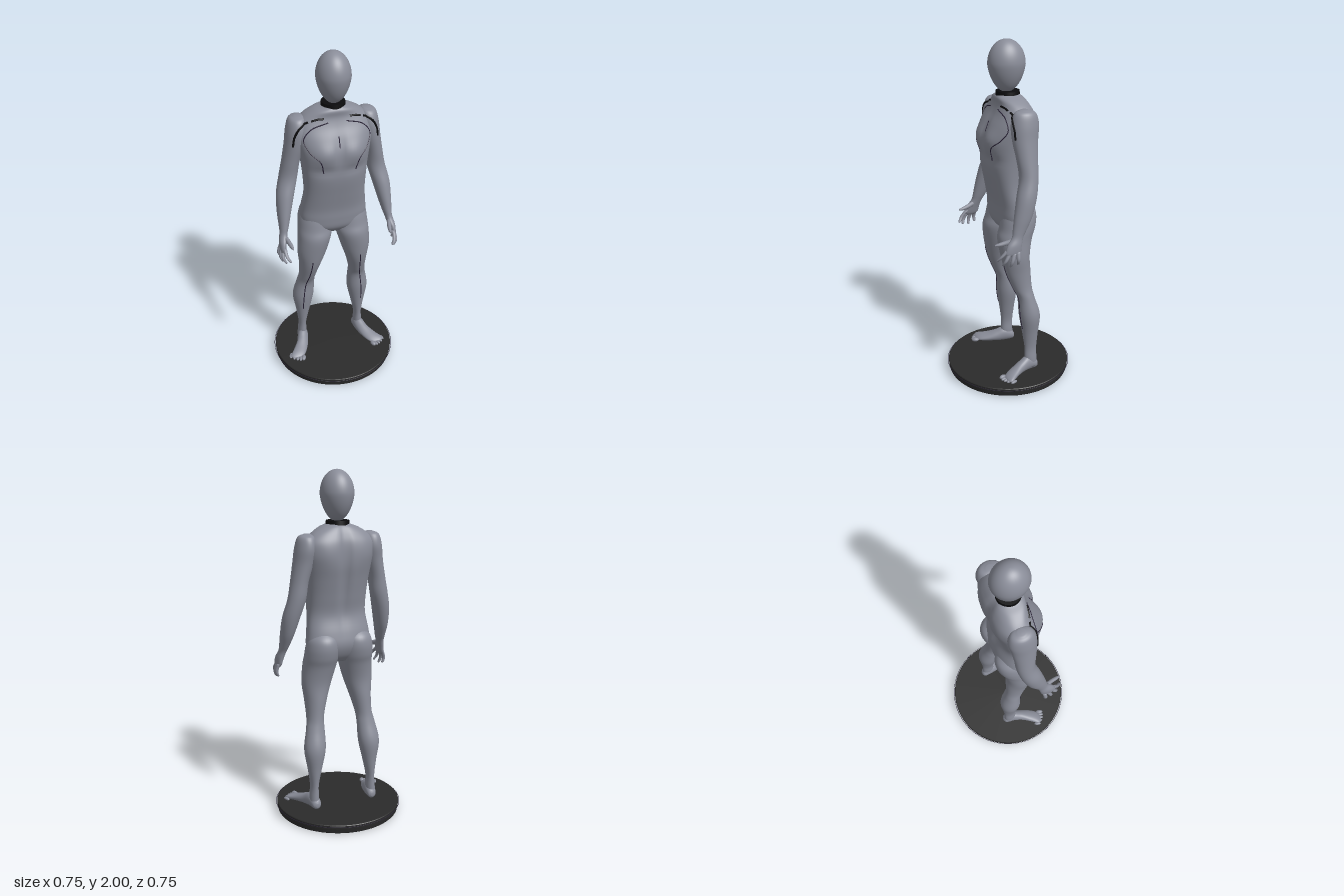
import * as THREE from 'three';

const mat = (name, color) => {
  const m = new THREE.MeshStandardMaterial({ color });
  m.name = name;
  return m;
};

// Smooth skin over sections [cx, cy, cz, ru, rv]; rings lie across the given axis
function loft(sections, { axis = 'y', seg = 28, steps = 5, power = 2, mirror = 1, sculpt } = {}) {
  const centre = new THREE.CatmullRomCurve3(sections.map(s => new THREE.Vector3(s[0], s[1], s[2])), false, 'catmullrom', 0.5);
  const radius = new THREE.CatmullRomCurve3(sections.map(s => new THREE.Vector3(s[3], s[4], 0)), false, 'catmullrom', 0.5);
  const rows = (sections.length - 1) * steps;
  const pos = [], index = [];
  const bend = v => Math.sign(v) * Math.abs(v) ** (2 / power);
  const add = p => {
    if (sculpt) sculpt(p);
    pos.push(p.x * mirror, p.y, p.z);
  };
  for (let i = 0; i <= rows; i++) {
    const c = centre.getPoint(i / rows), r = radius.getPoint(i / rows);
    for (let j = 0; j < seg; j++) {
      const t = j / seg * Math.PI * 2;
      const u = bend(Math.cos(t)) * r.x, v = bend(Math.sin(t)) * r.y;
      add(axis === 'y' ? new THREE.Vector3(c.x + u, c.y, c.z + v) : new THREE.Vector3(c.x + u, c.y + v, c.z));
    }
  }
  add(centre.getPoint(0));
  add(centre.getPoint(1));
  const first = sections[0], last = sections[sections.length - 1];
  const forward = (axis === 'y' ? first[1] - last[1] : last[2] - first[2]) * mirror > 0;
  const tri = (a, b, c) => (forward ? index.push(a, b, c) : index.push(a, c, b));
  const end = (rows + 1) * seg;
  for (let j = 0; j < seg; j++) {
    const k = (j + 1) % seg;
    for (let i = 0; i < rows; i++) {
      const a = i * seg + j, b = i * seg + k;
      tri(a, b, a + seg);
      tri(b, b + seg, a + seg);
    }
    tri(end, k, j);
    tri(end + 1, rows * seg + j, rows * seg + k);
  }
  const g = new THREE.BufferGeometry();
  g.setAttribute('position', new THREE.Float32BufferAttribute(pos, 3));
  g.setIndex(index);
  g.computeVertexNormals();
  return g;
}

const bump = (d, w) => Math.exp(-((d / w) ** 2));

// Chest, belly and spine modelling
function sculptTorso(p) {
  const ax = Math.abs(p.x);
  if (p.z > 0.03) {
    p.z += 0.014 * bump(ax - 0.085, 0.06) * bump(p.y - 1.47, 0.06);
    p.z -= 0.010 * bump(ax, 0.02) * bump(p.y - 1.5, 0.09);
    p.z -= 0.008 * bump(p.y - 1.37, 0.025) * bump(ax - 0.08, 0.08);
  } else if (p.z < -0.03) {
    p.z += 0.022 * bump(ax, 0.025) * bump(p.y - 1.45, 0.25);
    p.z -= 0.008 * bump(ax - 0.12, 0.06) * bump(p.y - 1.55, 0.08);
  }
}

export function createModel() {
  const group = new THREE.Group();
  const skin = mat('body grey', 0x8a8d99);
  const dark = mat('stand charcoal', 0x2b2b2b);
  const black = mat('trim black', 0x0c0c0e);
  const violet = mat('line violet', 0x2a2338);

  const put = (name, geo, material, parent = group) => {
    const m = new THREE.Mesh(geo, material);
    m.name = name;
    parent.add(m);
    return m;
  };

  // Round stand
  const profile = [[0, 0], [0.357, 0], [0.361, 0.004], [0.366, 0.03], [0.367, 0.048], [0.364, 0.052], [0, 0.052]];
  const standGeo = new THREE.LatheGeometry(profile.map(p => new THREE.Vector2(...p)), 96).toNonIndexed();
  standGeo.computeVertexNormals();
  put('stand', standGeo, dark);
  const ring = put('standRing', new THREE.TorusGeometry(0.3725, 0.0015, 6, 96), violet);
  ring.rotation.x = Math.PI / 2;
  ring.position.y = 0.042;

  // Torso sections: y, half width, front z, back z
  const torso = put('torso', loft([
    [0.925, 0.09, 0.05, -0.05], [0.97, 0.175, 0.085, -0.085], [1.03, 0.193, 0.095, -0.105],
    [1.1, 0.187, 0.10, -0.095], [1.2, 0.175, 0.12, -0.07], [1.3, 0.178, 0.14, -0.085],
    [1.4, 0.188, 0.15, -0.105], [1.48, 0.20, 0.15, -0.12], [1.55, 0.212, 0.125, -0.122],
    [1.61, 0.205, 0.092, -0.115], [1.655, 0.165, 0.075, -0.098], [1.688, 0.112, 0.075, -0.078],
    [1.705, 0.066, 0.065, -0.06], [1.715, 0.055, 0.055, -0.052],
  ].map(([y, w, f, b]) => [0, y, (f + b) / 2, w, (f - b) / 2]),
  { seg: 72, power: 2.4, sculpt: sculptTorso }), skin);

  // Neck collar
  const collar = put('collar', new THREE.CylinderGeometry(0.065, 0.067, 0.024, 40), black);
  collar.position.set(0, 1.712, 0.002);

  // Egg-shaped head
  const headGeo = new THREE.SphereGeometry(1, 48, 36);
  const hp = headGeo.attributes.position;
  for (let i = 0; i < hp.count; i++) {
    const y = hp.getY(i), taper = y < 0 ? 1 + 0.14 * y : 1;
    hp.setXYZ(i, hp.getX(i) * 0.094 * taper, 1.868 + y * (y > 0 ? 0.132 : 0.153), 0.009 + hp.getZ(i) * 0.105 * taper);
  }
  headGeo.computeVertexNormals();
  put('head', headGeo, skin);

  const surfaces = [torso];
  for (const mirror of [1, -1]) {
    const side = mirror > 0 ? 'left' : 'right';
    // Leg with thigh, knee and calf
    surfaces.push(put(side + 'Leg', loft([
      [0.10, 1.11, -0.02, 0.04, 0.045], [0.102, 1.07, -0.022, 0.082, 0.088], [0.104, 1.02, -0.02, 0.096, 0.102],
      [0.108, 0.96, -0.010, 0.099, 0.103], [0.114, 0.90, 0.008, 0.097, 0.1], [0.131, 0.80, 0.012, 0.086, 0.084],
      [0.143, 0.70, 0.0, 0.064, 0.075], [0.155, 0.60, -0.022, 0.05, 0.058], [0.163, 0.53, -0.044, 0.055, 0.05],
      [0.174, 0.42, -0.062, 0.063, 0.062], [0.178, 0.30, -0.066, 0.041, 0.048], [0.182, 0.20, -0.068, 0.024, 0.037],
      [0.184, 0.13, -0.068, 0.027, 0.038], [0.185, 0.075, -0.07, 0.028, 0.038],
    ], { mirror, seg: 36 }), skin));

    // Foot, turned outwards, with toes
    put(side + 'Foot', loft([
      [0.18, 0.08, -0.115, 0.010, 0.012], [0.181, 0.085, -0.10, 0.027, 0.03], [0.186, 0.097, -0.05, 0.033, 0.045],
      [0.2, 0.087, 0.0, 0.036, 0.036], [0.225, 0.077, 0.05, 0.043, 0.025], [0.25, 0.07, 0.09, 0.047, 0.018],
      [0.258, 0.066, 0.11, 0.038, 0.012], [0.26, 0.064, 0.12, 0.02, 0.006],
    ], { axis: 'z', mirror }), skin);
    for (let i = 0; i < 5; i++) {
      const toe = put(side + 'Toe' + (i + 1), new THREE.SphereGeometry(1, 14, 10), skin);
      const big = i === 0 ? 1.4 : 1;
      toe.scale.set(0.0095 * big, 0.009 * big, 0.023);
      toe.position.set(mirror * (0.228 + i * 0.0175), 0.053 + 0.009 * big, 0.13 - i * i * 0.0027);
      toe.rotation.y = mirror * 0.35;
    }

    // Shoulder, arm and palm
    surfaces.push(put(side + 'Arm', loft([
      [0.19, 1.658, -0.012, 0.02, 0.02], [0.196, 1.64, -0.014, 0.046, 0.06], [0.2, 1.58, -0.012, 0.059, 0.078],
      [0.213, 1.5, -0.008, 0.057, 0.072], [0.237, 1.4, -0.01, 0.05, 0.06], [0.255, 1.3, -0.012, 0.052, 0.053],
      [0.28, 1.2, 0.01, 0.05, 0.057], [0.296, 1.1, 0.036, 0.039, 0.052], [0.305, 1.03, 0.06, 0.028, 0.04],
      [0.312, 0.99, 0.076, 0.022, 0.033], [0.322, 0.95, 0.097, 0.021, 0.042], [0.328, 0.91, 0.108, 0.016, 0.044],
      [0.33, 0.893, 0.112, 0.008, 0.03],
    ], { mirror, seg: 36 }), skin));

    // Thumb and four fingers: base, middle joint, tip
    put(side + 'Thumb', loft([
      [0.312, 0.975, 0.085, 0.012, 0.016], [0.297, 0.96, 0.135, 0.012, 0.014],
      [0.289, 0.952, 0.175, 0.010, 0.010], [0.286, 0.95, 0.198, 0.004, 0.004],
    ], { axis: 'z', mirror, seg: 12 }), skin);
    const fingers = [
      [[0.322, 0.925, 0.138], [0.318, 0.89, 0.172], [0.303, 0.865, 0.19]],
      [[0.329, 0.915, 0.124], [0.335, 0.872, 0.152], [0.323, 0.845, 0.163]],
      [[0.333, 0.91, 0.102], [0.343, 0.865, 0.118], [0.334, 0.836, 0.124]],
      [[0.333, 0.915, 0.080], [0.346, 0.872, 0.084], [0.338, 0.845, 0.083]],
    ];
    fingers.forEach(([a, b, c], i) => put(side + 'Finger' + (i + 1), loft([
      [...a, 0.011, 0.013], [...b, 0.0095, 0.0105], [...c, 0.007, 0.008],
      [c[0] - 0.002, c[1] - 0.006, c[2] + 0.001, 0.002, 0.002],
    ], { mirror, seg: 12 }), skin));
  }

  // Trim lines projected from the front onto the body
  const caster = new THREE.Raycaster();
  const line = (name, pts, radius, material, mirror = 1) => {
    const path = new THREE.CatmullRomCurve3(pts.map(([x, y]) => new THREE.Vector3(x * mirror, y, 0)));
    const hits = [];
    for (const p of path.getPoints(28)) {
      caster.set(new THREE.Vector3(p.x, p.y, 1), new THREE.Vector3(0, 0, -1));
      const hit = caster.intersectObjects(surfaces, false)[0];
      if (hit) hits.push(hit.point);
    }
    if (hits.length > 1) {
      put(name, new THREE.TubeGeometry(new THREE.CatmullRomCurve3(hits), 56, radius, 6), material);
    }
  };
  line('sternumLine', [[0, 1.565], [0, 1.535], [0, 1.505]], 0.003, violet);
  for (const mirror of [1, -1]) {
    const side = mirror > 0 ? 'left' : 'right';
    line(side + 'ChestLine', [[0.05, 1.635], [0.14, 1.605], [0.183, 1.55], [0.16, 1.49], [0.11, 1.44], [0.09, 1.365]], 0.003, violet, mirror);
    line(side + 'CollarBand', [[0.07, 1.655], [0.1, 1.653], [0.135, 1.643]], 0.006, black, mirror);
    line(side + 'ShoulderBand', [[0.15, 1.638], [0.2, 1.61], [0.227, 1.565], [0.237, 1.51]], 0.006, black, mirror);
    line(side + 'LegLine', [[0.145, 0.75], [0.155, 0.63], [0.173, 0.52], [0.183, 0.43], [0.187, 0.335]], 0.003, violet, mirror);
  }
  return group;
}
